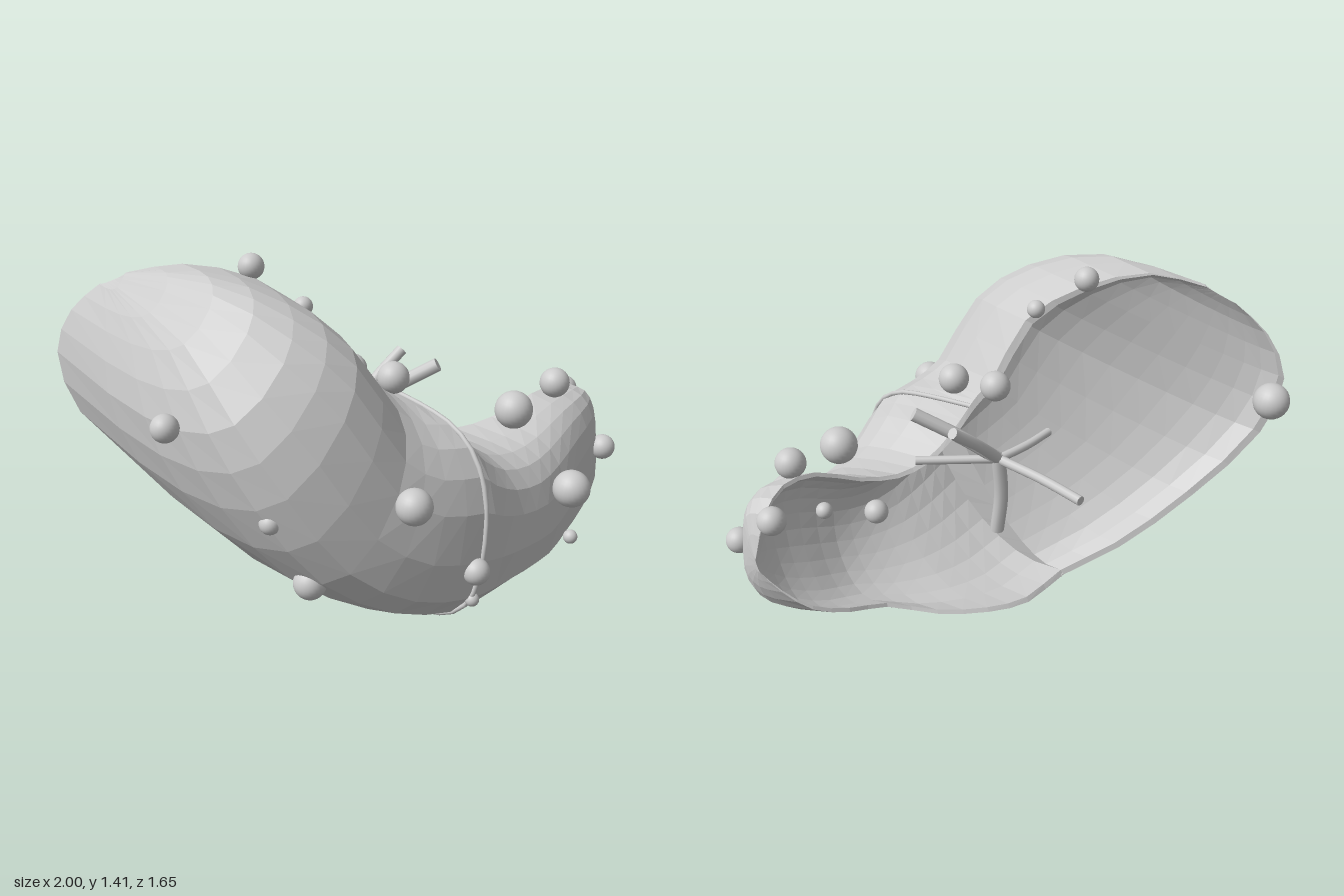
import * as THREE from 'three';

const mat = new THREE.MeshStandardMaterial({ color: 0xcccccc });
const shellMat = new THREE.MeshStandardMaterial({ color: 0xcccccc, flatShading: true, side: THREE.DoubleSide });
const V = (a) => new THREE.Vector3(...a);

// Cross-sections along the crescent: upper rim, front bulge, lower rim
const keys = [
  [[-0.74, 1.32, -0.42], [-0.78, 1.29, -0.40], [-0.80, 1.26, -0.53]],
  [[-0.60, 1.37, -0.24], [-0.75, 1.24, 0.10], [-0.87, 1.14, -0.65]],
  [[-0.40, 1.32, -0.06], [-0.71, 1.07, 0.42], [-0.91, 0.95, -0.73]],
  [[-0.25, 1.17, 0.11], [-0.60, 0.85, 0.59], [-0.86, 0.69, -0.68]],
  [[-0.08, 0.95, 0.14], [-0.42, 0.54, 0.69], [-0.62, 0.42, -0.53]],
  [[-0.02, 0.90, 0.16], [-0.20, 0.38, 0.75], [-0.32, 0.23, -0.38]],
  [[0.02, 0.86, 0.17], [0.03, 0.32, 0.77], [-0.12, 0.12, -0.24]],
  [[0.10, 0.74, 0.21], [0.15, 0.295, 0.765], [0.08, 0.08, -0.22]],
  [[0.20, 0.65, 0.25], [0.32, 0.26, 0.73], [0.25, 0.09, -0.15]],
  [[0.33, 0.62, 0.29], [0.50, 0.25, 0.70], [0.42, 0.11, -0.02]],
  [[0.48, 0.65, 0.35], [0.65, 0.275, 0.65], [0.57, 0.16, 0.12]],
  [[0.65, 0.73, 0.41], [0.79, 0.33, 0.61], [0.74, 0.22, 0.15]],
  [[0.80, 0.74, 0.42], [0.91, 0.41, 0.57], [0.88, 0.29, 0.20]],
  [[0.93, 0.68, 0.38], [0.98, 0.49, 0.48], [0.96, 0.38, 0.28]],
  [[1.00, 0.52, 0.37], [1.00, 0.49, 0.38], [1.00, 0.46, 0.35]],
];
// Two steps between neighbouring key sections
const STEPS = 2 * (keys.length - 1), SEAM = 12, ARC = 12;
const rails = [0, 1, 2].map((k) => new THREE.CatmullRomCurve3(keys.map((s) => V(s[k]))));
const stations = Array.from({ length: STEPS + 1 }, (_, i) => rails.map((r) => r.getPoint(i / STEPS)));

// Rounded arc from the upper to the lower rim
function outerArc([U, F, L]) {
  const C = U.clone().add(L).multiplyScalar(0.5), half = U.clone().sub(C);
  return Array.from({ length: ARC + 1 }, (_, j) => {
    const t = (j / ARC) * Math.PI, cos = Math.cos(t);
    const c = Math.sign(cos) * Math.abs(cos) ** 0.7, s = Math.max(0, Math.sin(t)) ** 0.7;
    const rimZ = cos > 0 ? U.z : L.z, lift = cos > 0 ? 0.25 : 0.12;
    return new THREE.Vector3(
      C.x + half.x * c + (F.x - C.x) * s,
      C.y + half.y * (c + lift * Math.sin(2 * t)) + (F.y - C.y) * s,
      rimZ + (F.z - rimZ) * s,
    );
  });
}

// Shallow hollow on the back, inset to leave a flat rim
function innerArc([U, F, L], hollow) {
  const C = U.clone().add(L).multiplyScalar(0.5);
  const half = U.clone().sub(C).multiplyScalar(0.94), dip = F.clone().sub(C).multiplyScalar(hollow);
  return Array.from({ length: ARC + 1 }, (_, j) => {
    const t = (j / ARC) * Math.PI;
    return C.clone().addScaledVector(half, Math.cos(t)).addScaledVector(dip, Math.max(0, Math.sin(t)) ** 0.7);
  });
}

// Loft closed loops: outer skin down, hollow back up
function lobe(name, list, hollow) {
  const pos = [], idx = [], n = 2 * (ARC + 1);
  for (const s of list) {
    [...outerArc(s), ...innerArc(s, hollow).reverse()].forEach((p) => pos.push(p.x, p.y, p.z));
  }
  for (let i = 0; i < list.length - 1; i++) {
    for (let j = 0; j < n; j++) {
      const a = i * n + j, b = i * n + (j + 1) % n;
      idx.push(a, b, a + n, b, b + n, a + n);
    }
  }
  // End walls between the skins
  for (const base of [0, (list.length - 1) * n]) {
    for (let j = 0; j < ARC; j++) {
      const a = base + j, d = base + n - 1 - j;
      idx.push(a, a + 1, d - 1, a, d - 1, d);
    }
  }
  const geo = new THREE.BufferGeometry();
  geo.setAttribute('position', new THREE.Float32BufferAttribute(pos, 3));
  geo.setIndex(idx);
  geo.computeVertexNormals();
  const mesh = new THREE.Mesh(geo, shellMat);
  mesh.name = name;
  return mesh;
}

function tube(name, points, radius, segments) {
  const curve = new THREE.CatmullRomCurve3(points);
  const mesh = new THREE.Mesh(new THREE.TubeGeometry(curve, segments, radius, 10), mat);
  mesh.name = name;
  return mesh;
}

export function createModel() {
  const model = new THREE.Group();
  model.name = 'lobedShell';
  model.add(lobe('largeLobe', stations.slice(0, SEAM + 1), 0.22));
  model.add(lobe('smallLobe', stations.slice(SEAM), 0.42));

  // Raised seam between the lobes
  model.add(tube('seamRidge', outerArc(stations[SEAM]), 0.01, 30));

  // Branching stems behind the hollow: tip and radius
  const stems = new THREE.Group();
  stems.name = 'stems';
  const hub = [0.03, 0.68, 0];
  [
    [[-0.27, 0.68, -0.01], 0.018], [[0.27, 0.9, 0.24], 0.028], [[0.27, 0.9, 0.02], 0.024],
    [[0.27, 0.68, 0.24], 0.018], [[0.035, 0.68, -0.44], 0.02], [[0.02, 0.31, 0.02], 0.03],
  ].forEach(([tip, r]) => {
    const mid = V(hub).lerp(V(tip), 0.5).add(new THREE.Vector3(-0.01, 0, -0.01));
    stems.add(tube('stem', [V(hub), mid, V(tip)], r, 8));
    // Flat end of the stem
    const cap = new THREE.Mesh(new THREE.CircleGeometry(r, 10), mat);
    cap.name = 'stemEnd';
    cap.position.set(...tip);
    cap.lookAt(V(tip).multiplyScalar(2).sub(mid));
    stems.add(cap);
  });
  model.add(stems);

  // Beads scattered over the surface: x, y, z, radius
  const beads = new THREE.Group();
  beads.name = 'beads';
  [
    [-0.4, 1.36, -0.08, 0.05], [-0.28, 1.22, 0.08, 0.037], [-0.95, 0.94, 0.17, 0.052],
    [-0.735, 0.625, 0.48, 0.04], [-0.3, 0.655, 0.745, 0.068], [-0.58, 0.335, 0.5, 0.063],
    [0, 0.29, 0.77, 0.053], [0.01, 0.15, 0.745, 0.028], [-0.01, 0.93, 0.29, 0.063],
    [-0.08, 0.93, 0.12, 0.063], [0.46, 0.735, 0.49, 0.077], [0.72, 0.78, 0.47, 0.062],
    [0.92, 0.665, 0.35, 0.057], [0.56, 0.445, 0.735, 0.076], [0.93, 0.465, 0.58, 0.053],
    [0.645, 0.17, 0.68, 0.03], [-0.79, 0.9, -0.75, 0.075], [0.64, 0.55, 0.39, 0.034],
    [0.42, 0.46, 0.33, 0.05],
  ].forEach(([x, y, z, r]) => {
    const bead = new THREE.Mesh(new THREE.SphereGeometry(r, 24, 16), mat);
    bead.name = 'bead';
    bead.position.set(x, y, z);
    beads.add(bead);
  });
  model.add(beads);
  return model;
}
